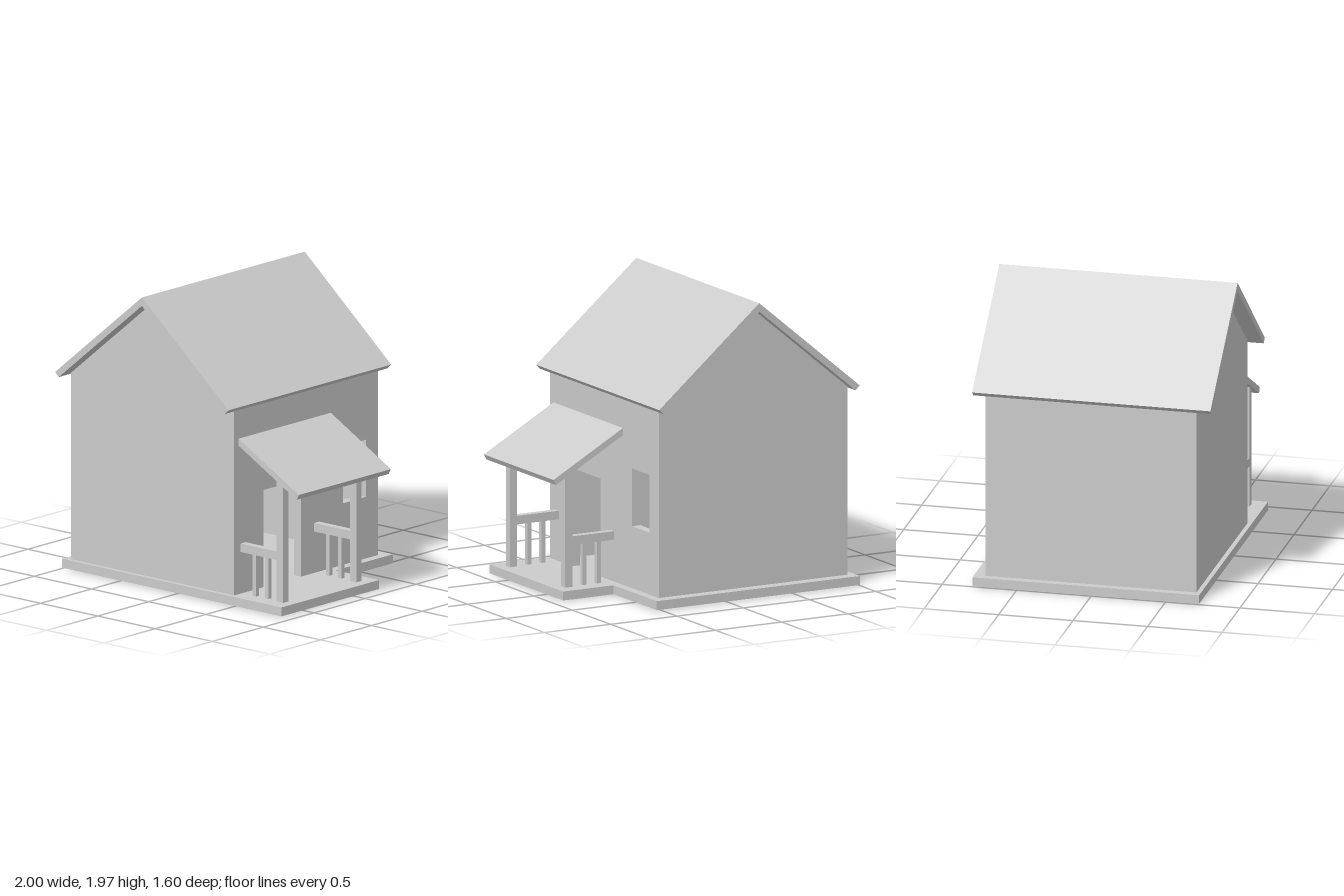
import * as THREE from 'three';

const material = new THREE.MeshStandardMaterial({ color: 0xcccccc, flatShading: true });

// Extrudes an outline of [x, y] points along +z, with optional holes.
function slab(points, depth, holes = []) {
  const toV = (list) => list.map(([x, y]) => new THREE.Vector2(x, y));
  const shape = new THREE.Shape(toV(points));
  holes.forEach((h) => shape.holes.push(new THREE.Path(toV(h))));
  return new THREE.ExtrudeGeometry(shape, { depth, bevelEnabled: false });
}

export function createModel() {
  const house = new THREE.Group();
  house.name = 'house';

  function add(name, geometry, x = 0, y = 0, z = 0, parent = house) {
    const mesh = new THREE.Mesh(geometry, material);
    mesh.name = name;
    mesh.position.set(x, y, z);
    parent.add(mesh);
    return mesh;
  }
  // Box given by its limits on each axis.
  function addBox(name, [x0, x1], [y0, y1], [z0, z1], parent) {
    return add(name, new THREE.BoxGeometry(x1 - x0, y1 - y0, z1 - z0),
      (x0 + x1) / 2, (y0 + y1) / 2, (z0 + z1) / 2, parent);
  }

  const left = -0.95, right = 0.475, back = -0.72, front = 0.695;
  const ridge = -0.237, eave = 1.323, wall = 0.06;

  // L-shaped foundation with the porch floor; outline is in (x, -z)
  const base = add('foundation', slab([
    [-1, -0.725], [0.915, -0.725], [0.915, 0.235],
    [0.535, 0.235], [0.535, 0.797], [-1, 0.797],
  ], 0.06), 0, 0.005, 0);
  base.rotation.x = -Math.PI / 2;

  // Gable walls
  const gable = slab([[left, 0], [right, 0], [right, eave], [ridge, 1.915], [left, eave]], wall);
  add('frontWall', gable, 0, 0, front - wall);
  add('backWall', gable, 0, 0, back);

  // Side walls: one plain, one with a doorway and a window; outline is in (-z, y)
  const zIn = [back + wall, front - wall];
  addBox('plainSideWall', [left, left + wall], [0, eave], zIn);
  const porchWall = add('porchSideWall', slab([
    [-zIn[1], 0], [-0.405, 0], [-0.405, 0.72], [-0.04, 0.72], [-0.04, 0],
    [-zIn[0], 0], [-zIn[0], eave], [-zIn[1], eave],
  ], wall, [[[0.375, 0.48], [0.375, 0.865], [0.6, 0.865], [0.6, 0.48]]]), right - wall, 0, 0);
  porchWall.rotation.y = Math.PI / 2;

  // Main roof
  add('roof', slab([
    [-0.995, 1.34], [-0.964, 1.31], [ridge, 1.915],
    [0.487, 1.31], [0.518, 1.34], [ridge, 1.972],
  ], 1.6), 0, 0, -0.8);

  // Porch
  const porch = new THREE.Group();
  porch.name = 'porch';
  house.add(porch);
  add('porchRoof', slab([[right, 1.065], [0.98, 0.787], [1, 0.823], [right, 1.113]], 0.905),
    0, 0, -0.255, porch);

  const floor = 0.065;
  const post = slab([[0.79, floor], [0.845, floor], [0.845, 0.862], [0.79, 0.892]], 0.052);
  for (const z of [0.605, -0.115]) {
    add('porchPost', post, 0, 0, z - 0.026, porch);
    addBox('handrail', [right, 0.79], [0.345, 0.402], [z - 0.025, z + 0.025], porch);
    for (const x of [0.585, 0.692]) {
      addBox('baluster', [x - 0.015, x + 0.015], [floor, 0.345], [z - 0.015, z + 0.015], porch);
    }
  }
  return house;
}
